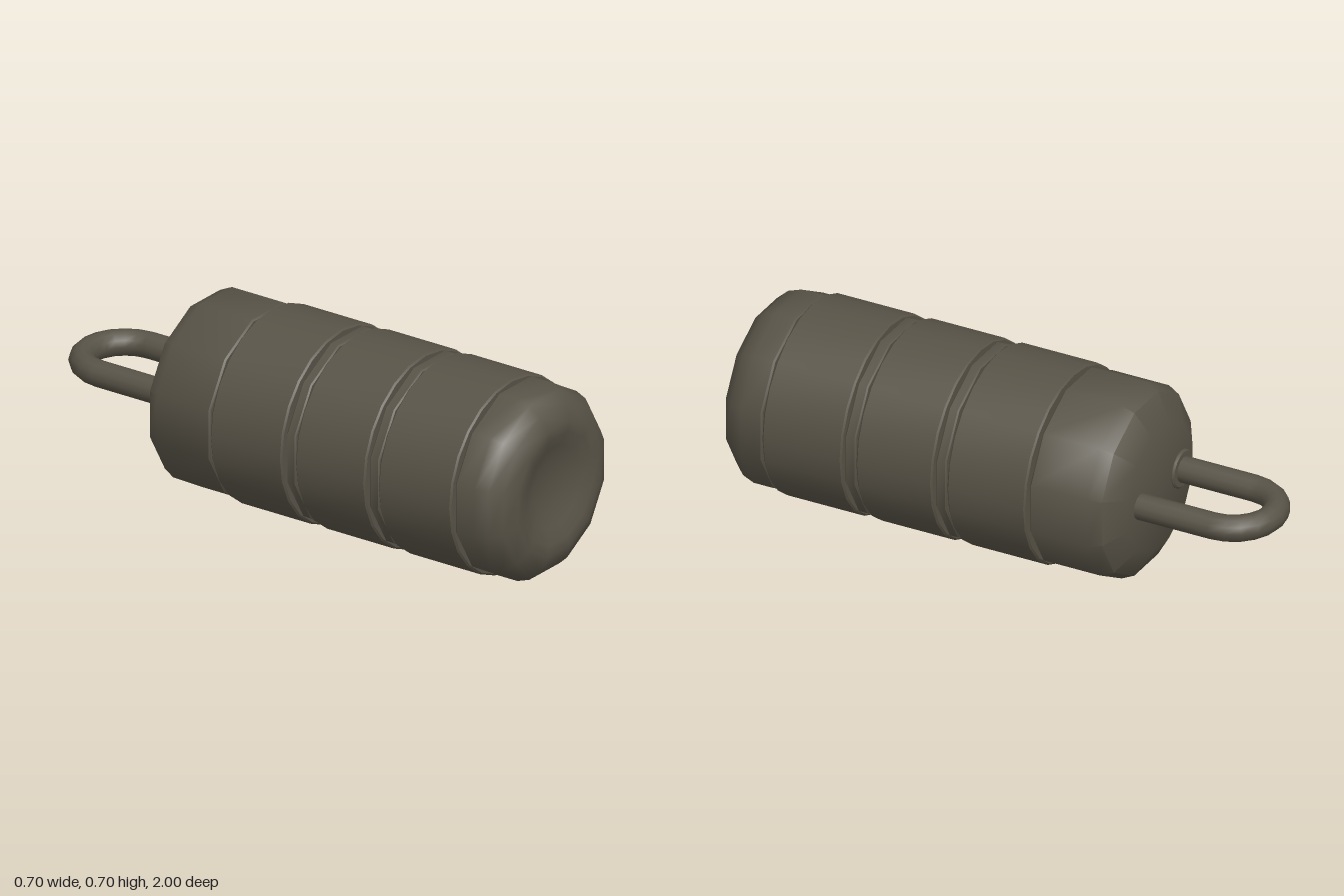
import * as THREE from 'three';
import { toCreasedNormals } from 'three/addons/utils/BufferGeometryUtils.js';

const AXIS_Y = 0.35;

export function createModel() {
  const model = new THREE.Group();
  model.name = 'cylinderLock';
  const metal = new THREE.MeshStandardMaterial({ color: 0x585347 });
  metal.name = 'darkMetal';

  function add(name, geometry, x = 0, z = 0) {
    const mesh = new THREE.Mesh(geometry, metal);
    mesh.name = name;
    mesh.position.set(x, AXIS_Y, z);
    model.add(mesh);
  }

  // Turned part along z; profile is [radius, z] from back to front
  function turned(name, profile, sides, x = 0) {
    const points = profile.map(([r, z]) => new THREE.Vector2(r, z));
    // Twelve-sided parts have flats on top; the dials have corners there
    const start = sides === 12 ? Math.PI / 12 : 0;
    const geometry = new THREE.LatheGeometry(points, sides, start).rotateX(Math.PI / 2);
    add(name, toCreasedNormals(geometry, 0.7), x);
  }

  // Disc with a small bevel on both rims
  function disc(name, r, back, front, sides, bevel, x = 0) {
    turned(name, [
      [0, back], [r - bevel, back], [r, back + bevel],
      [r, front - bevel], [r - bevel, front], [0, front],
    ], sides, x);
  }

  // Inner core seen in the gaps
  disc('core', 0.31, -0.3, 0.9, 12, 0.005);

  // Front cap with a dished end
  turned('frontCap', [
    [0, 0.81], [0.34, 0.81], [0.346, 0.816], [0.346, 0.89], [0.33, 0.937],
    [0.295, 0.975], [0.238, 0.998], [0.2, 0.995], [0.15, 0.975], [0.09, 0.957], [0, 0.95],
  ], 12);

  // Back body with a sloped shoulder
  turned('backBody', [
    [0, -0.53], [0.232, -0.53], [0.325, -0.475], [0.346, -0.43],
    [0.346, -0.216], [0.34, -0.21], [0, -0.21],
  ], 12);

  // Three dials and the spacers between them
  [[-0.2, 0.098], [0.155, 0.445], [0.5, 0.803]].forEach(([back, front], i) =>
    disc(`dial${i + 1}`, 0.35, back, front, 24, 0.006));
  [[0.108, 0.147], [0.453, 0.494]].forEach(([back, front], i) =>
    disc(`spacer${i + 1}`, 0.346, back, front, 12, 0.005));

  // Shackle: half-ring bow and two straight legs
  const legX = 0.145, tube = 0.046, bowZ = -0.809;
  add('shackleBow', new THREE.TorusGeometry(legX, tube, 12, 10, Math.PI).rotateX(-Math.PI / 2), 0, bowZ);
  for (const side of [-1, 1]) {
    const length = 0.32;
    const leg = new THREE.CylinderGeometry(tube, tube, length, 12).rotateX(Math.PI / 2);
    add(side > 0 ? 'leftLeg' : 'rightLeg', leg, side * legX, bowZ + length / 2);
  }

  // Raised socket around the right leg
  disc('legSocket', 0.07, -0.539, -0.5, 16, 0.006, -legX);

  return model;
}
